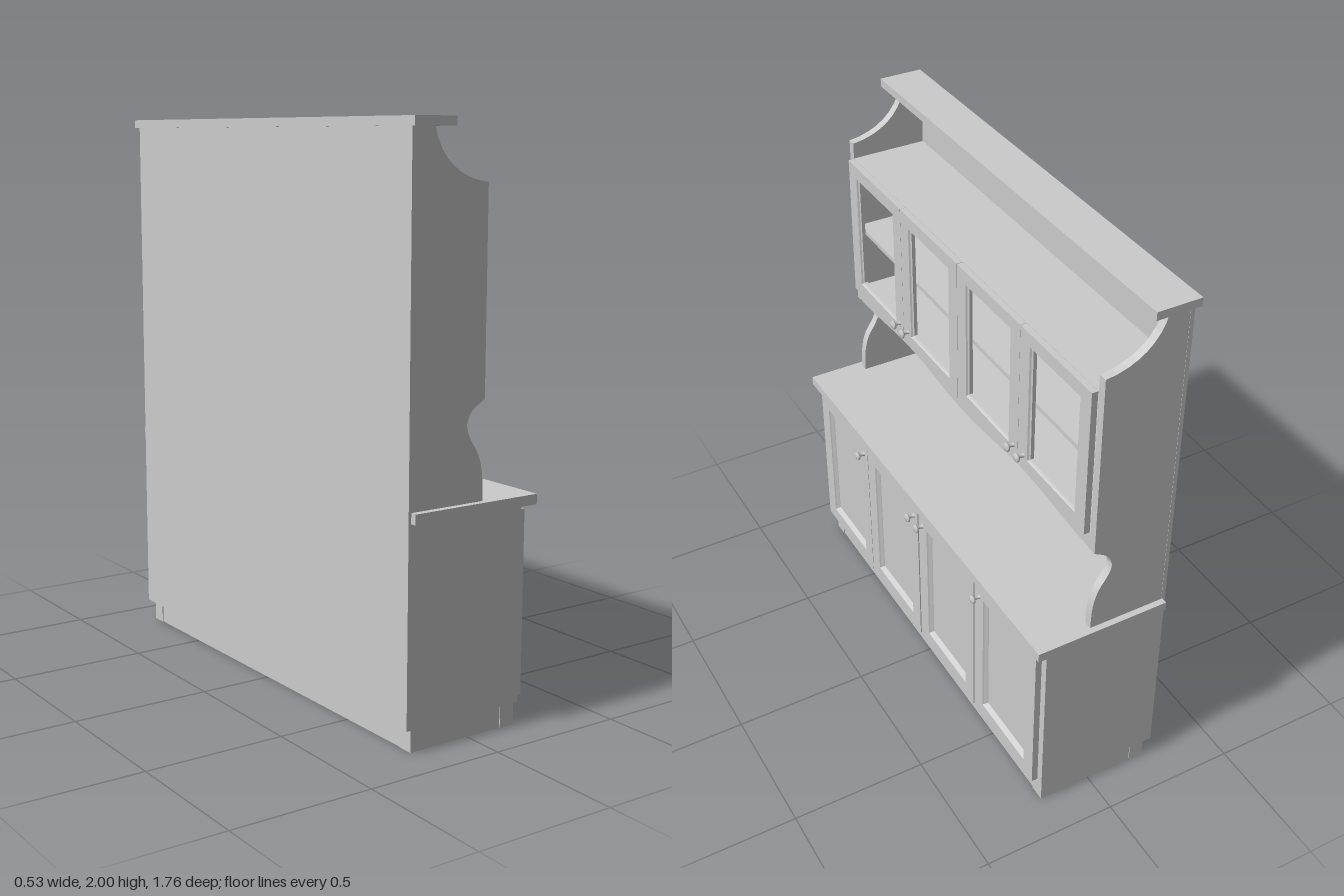
import * as THREE from 'three';

const grey = new THREE.MeshStandardMaterial({ color: 0xcccccc });

export function createModel() {
  const model = new THREE.Group();
  model.name = 'dresser';

  function add(name, geometry, x = 0, y = 0, z = 0) {
    const mesh = new THREE.Mesh(geometry, grey);
    mesh.name = name;
    mesh.position.set(x, y, z);
    model.add(mesh);
    return mesh;
  }
  // Box given by its lower and upper limits on each axis
  function board(name, x0, x1, y0, y1, z0, z1) {
    return add(name, new THREE.BoxGeometry(x1 - x0, y1 - y0, z1 - z0),
      (x0 + x1) / 2, (y0 + y1) / 2, (z0 + z1) / 2);
  }
  // Door facing +x, lofted through rectangular rings [halfWidth, halfHeight, x]
  function doorGeometry(rings) {
    const positions = [];
    const corner = ([w, h, x], i) => [
      [x, -h, -w], [x, h, -w], [x, h, w], [x, -h, w]][i % 4];
    for (let r = 0; r < rings.length - 1; r++) {
      for (let i = 0; i < 4; i++) {
        const a = corner(rings[r], i), b = corner(rings[r], i + 1);
        const c = corner(rings[r + 1], i + 1), d = corner(rings[r + 1], i);
        positions.push(...a, ...b, ...c, ...a, ...c, ...d);
      }
    }
    const g = new THREE.BufferGeometry();
    g.setAttribute('position', new THREE.Float32BufferAttribute(positions, 3));
    g.computeVertexNormals();
    return g;
  }

  // Plinth: corner blocks joined by slightly inset rails
  for (const s of [-1, 1]) {
    const z0 = Math.min(s * 0.79, s * 0.848), z1 = Math.max(s * 0.79, s * 0.848);
    board('plinthBackBlock', -0.235, -0.18, 0, 0.08, z0, z1);
    board('plinthFrontBlock', 0.14, 0.197, 0, 0.08, z0, z1);
    const inset = s * 0.003;
    board('plinthSideRail', -0.18, 0.14, 0, 0.08, z0 - inset, z1 - inset);
  }
  board('plinthBackRail', -0.232, -0.18, 0, 0.08, -0.79, 0.79);
  board('plinthFrontRail', 0.14, 0.194, 0, 0.08, -0.79, 0.79);

  // Lower cabinet, counter, back and cornice
  board('baseCabinet', -0.246, 0.205, 0.08, 0.755, -0.86, 0.86);
  board('counterTop', -0.25, 0.25, 0.755, 0.79, -0.882, 0.882);
  board('backPanel', -0.26, -0.245, 0.08, 1.97, -0.86, 0.86);
  board('corniceBoard', -0.268, -0.107, 1.97, 2, -0.882, 0.882);

  // Scrolled side panels
  const side = new THREE.Shape();
  side.moveTo(-0.246, 0.79);
  side.lineTo(0.038, 0.79);
  side.bezierCurveTo(0.038, 0.86, 0.035, 0.92, 0.005, 0.965);
  side.bezierCurveTo(-0.02, 1.0, -0.03, 1.02, -0.031, 1.045);
  side.bezierCurveTo(-0.02, 1.09, -0.005, 1.095, 0.04, 1.12);
  side.lineTo(0.04, 1.8);
  side.bezierCurveTo(-0.07, 1.81, -0.15, 1.87, -0.172, 1.97);
  side.lineTo(-0.246, 1.97);
  const sideGeometry = new THREE.ExtrudeGeometry(side, { depth: 0.031, bevelEnabled: false, curveSegments: 8 });
  add('leftSidePanel', sideGeometry, 0, 0, 0.828);
  add('rightSidePanel', sideGeometry, 0, 0, -0.859);

  // Upper cabinet boards
  board('cabinetTop', -0.246, 0.04, 1.715, 1.74, -0.83, 0.83);
  board('cabinetShelf', -0.246, 0.03, 1.44, 1.457, -0.83, 0.83);
  board('cabinetFloor', -0.246, 0.04, 1.17, 1.19, -0.83, 0.83);

  // Wavy valance below the upper cabinet
  const wave = new THREE.Shape();
  wave.moveTo(-0.829, 1.185);
  const steps = 40;
  for (let i = 0; i <= steps; i++) {
    const z = -0.829 + 1.658 * i / steps;
    wave.lineTo(z, 1.133 - 0.013 * Math.cos(z / 0.829 * Math.PI * 2));
  }
  wave.lineTo(0.829, 1.185);
  const waveGeometry = new THREE.ExtrudeGeometry(wave, { depth: 0.02, bevelEnabled: false });
  waveGeometry.rotateY(-Math.PI / 2);
  add('valance', waveGeometry, 0.039, 0, 0);

  // Upper doors: open frames with a stepped inner bead
  const openDoor = doorGeometry([
    [0.206, 0.276, 0], [0.206, 0.276, 0.022], [0.147, 0.227, 0.022], [0.144, 0.224, 0.016],
    [0.138, 0.218, 0.013], [0.138, 0.218, 0], [0.206, 0.276, 0],
  ]);
  for (const z of [0.62, 0.207, -0.207, -0.62]) add('upperDoor', openDoor, 0.041, 1.463, z);

  // Lower doors: frames with a moulded, recessed panel
  const panelDoor = doorGeometry([
    [0.208, 0.319, 0], [0.208, 0.319, 0.023], [0.147, 0.263, 0.023], [0.144, 0.26, 0.018],
    [0.136, 0.252, 0.009], [0.134, 0.25, 0.006], [0, 0, 0.006],
  ]);
  for (const z of [0.639, 0.22, -0.204, -0.625]) add('lowerDoor', panelDoor, 0.206, 0.418, z);

  // Turned knobs
  const profile = [[0.009, 0], [0.006, 0.006], [0.006, 0.019], [0.015, 0.023],
    [0.017, 0.028], [0.014, 0.033], [0, 0.035]];
  const knob = new THREE.LatheGeometry(profile.map(([r, y]) => new THREE.Vector2(r, y)), 16);
  knob.rotateZ(-Math.PI / 2);
  for (const z of [0.445, 0.377, -0.386, -0.45]) add('upperKnob', knob, 0.062, 1.245, z);
  for (const z of [0.461, 0.042, -0.027, -0.452]) add('lowerKnob', knob, 0.229, 0.68, z);

  return model;
}
